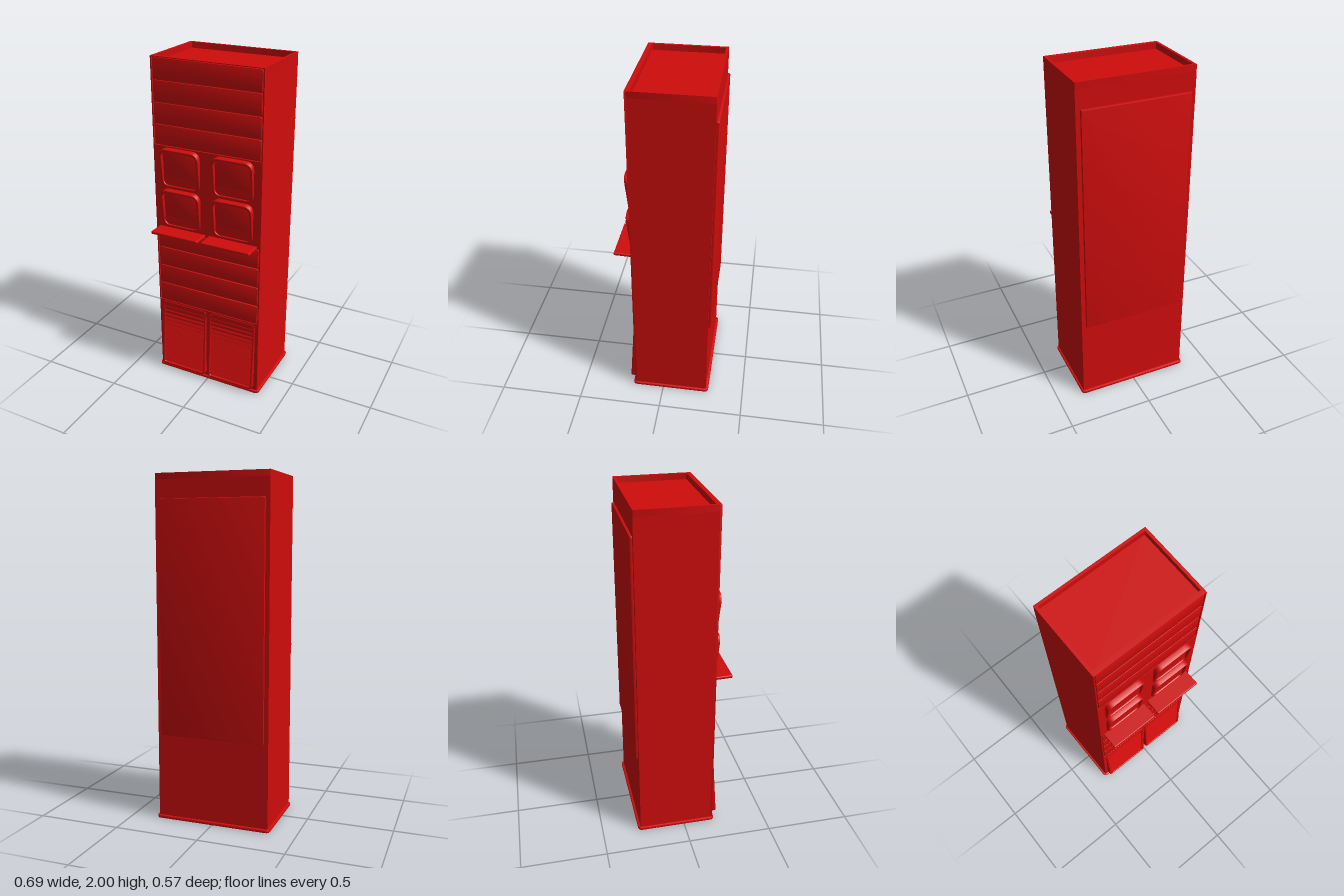
import * as THREE from 'three';
import { RoundedBoxGeometry } from 'three/addons/geometries/RoundedBoxGeometry.js';
import { toCreasedNormals } from 'three/addons/utils/BufferGeometryUtils.js';

const red = new THREE.MeshStandardMaterial({ color: 0xd00c0c });

// Rounded rectangle centred on the origin
function roundRect(w, h, r, Type = THREE.Shape) {
  const p = new Type(), x = w / 2, y = h / 2;
  p.moveTo(-x + r, -y);
  p.lineTo(x - r, -y);
  p.quadraticCurveTo(x, -y, x, -y + r);
  p.lineTo(x, y - r);
  p.quadraticCurveTo(x, y, x - r, y);
  p.lineTo(-x + r, y);
  p.quadraticCurveTo(-x, y, -x, y - r);
  p.lineTo(-x, -y + r);
  p.quadraticCurveTo(-x, -y, -x + r, -y);
  return p;
}

// Extrusion running from z = 0 to z = depth, bevel included
function plate(shape, depth, bevel = 0) {
  const g = new THREE.ExtrudeGeometry(shape, {
    depth: depth - 2 * bevel, curveSegments: 8,
    bevelEnabled: bevel > 0, bevelThickness: bevel, bevelSize: bevel, bevelOffset: -bevel, bevelSegments: 2,
  });
  g.translate(0, 0, bevel);
  return toCreasedNormals(g, 0.6);
}

function ring(w, h, r, t, depth, bevel) {
  const s = roundRect(w, h, r);
  s.holes.push(roundRect(w - 2 * t, h - 2 * t, Math.max(r - t, 0.004), THREE.Path));
  return plate(s, depth, bevel);
}

function add(parent, name, geometry, x = 0, y = 0, z = 0) {
  const m = new THREE.Mesh(geometry, red);
  m.name = name;
  m.position.set(x, y, z);
  parent.add(m);
  return m;
}

function group(parent, name, x, y, z, tilt = 0) {
  const g = new THREE.Group();
  g.name = name;
  g.position.set(x, y, z);
  g.rotation.x = tilt;
  parent.add(g);
  return g;
}

export function createModel() {
  const model = new THREE.Group();
  model.name = 'cabinet';

  // Cabinet with a sunken top
  add(model, 'body', new THREE.BoxGeometry(0.67, 1.965, 0.44), 0, 0.9825, -0.05);
  const rim = ring(0.67, 0.44, 0.002, 0.016, 0.035, 0);
  rim.rotateX(-Math.PI / 2);
  add(model, 'topRim', rim, 0, 1.965, -0.05);

  // Base plate with rounded corners
  const base = plate(roundRect(0.694, 0.476, 0.025), 0.018, 0.005);
  base.rotateX(-Math.PI / 2);
  add(model, 'basePlate', base, 0, 0, -0.047);

  // Raised back door
  add(model, 'backPanel', plate(roundRect(0.62, 1.35, 0.006), 0.02, 0.006), 0, 1.185, -0.285).rotation.y = 0;

  // Front frame with two openings, each filled by four slats
  const front = roundRect(0.67, 2, 0.002);
  const banks = [[1.505, 1.996], [0.495, 0.988]];
  for (const [lo, hi] of banks) {
    const hole = new THREE.Path();
    hole.moveTo(-0.328, lo - 1);
    hole.lineTo(-0.328, hi - 1);
    hole.lineTo(0.328, hi - 1);
    hole.lineTo(0.328, lo - 1);
    hole.closePath();
    front.holes.push(hole);
  }
  add(model, 'frontFrame', plate(front, 0.01), 0, 1, 0.17);
  for (const [lo, hi] of banks) {
    const pitch = (hi - lo) / 4;
    const slat = plate(roundRect(0.648, pitch - 0.005, 0.01), 0.012, 0.004);
    for (let i = 0; i < 4; i++) add(model, 'frontSlat', slat, 0, lo + pitch * (i + 0.5), 0.168);
  }

  // Shared parts of the windows, grilles and shelves
  const windowRing = ring(0.248, 0.238, 0.05, 0.014, 0.05, 0.004);
  const windowPane = plate(roundRect(0.214, 0.204, 0.036), 0.036, 0.004);
  const grilleRing = ring(0.303, 0.455, 0.025, 0.013, 0.045, 0.004);
  const grilleBack = plate(roundRect(0.285, 0.437, 0.015), 0.03);
  const louvre = new THREE.BoxGeometry(0.279, 0.024, 0.008);
  const shelf = new RoundedBoxGeometry(0.303, 0.018, 0.12, 2, 0.006);

  for (const side of [-1, 1]) {
    // Square windows leaning out at the top
    for (const y of [1.382, 1.135]) {
      const win = group(model, 'window', side * 0.164, y, 0.15, 0.11);
      add(win, 'windowFrame', windowRing);
      add(win, 'windowPane', windowPane);
    }

    // Small shelf under the windows
    add(model, 'shelf', shelf, side * 0.162, 0.998, 0.222).rotation.x = -0.03;

    // Louvred grille leaning out at the bottom
    const grille = group(model, 'grille', side * 0.162, 0.258, 0.152, -0.065);
    add(grille, 'grilleFrame', grilleRing);
    add(grille, 'grilleBack', grilleBack);
    for (let i = 0; i < 14; i++) {
      add(grille, 'louvre', louvre, 0, -0.198 + i * 0.0305, 0.034).rotation.x = -0.35;
    }
  }
  return model;
}
